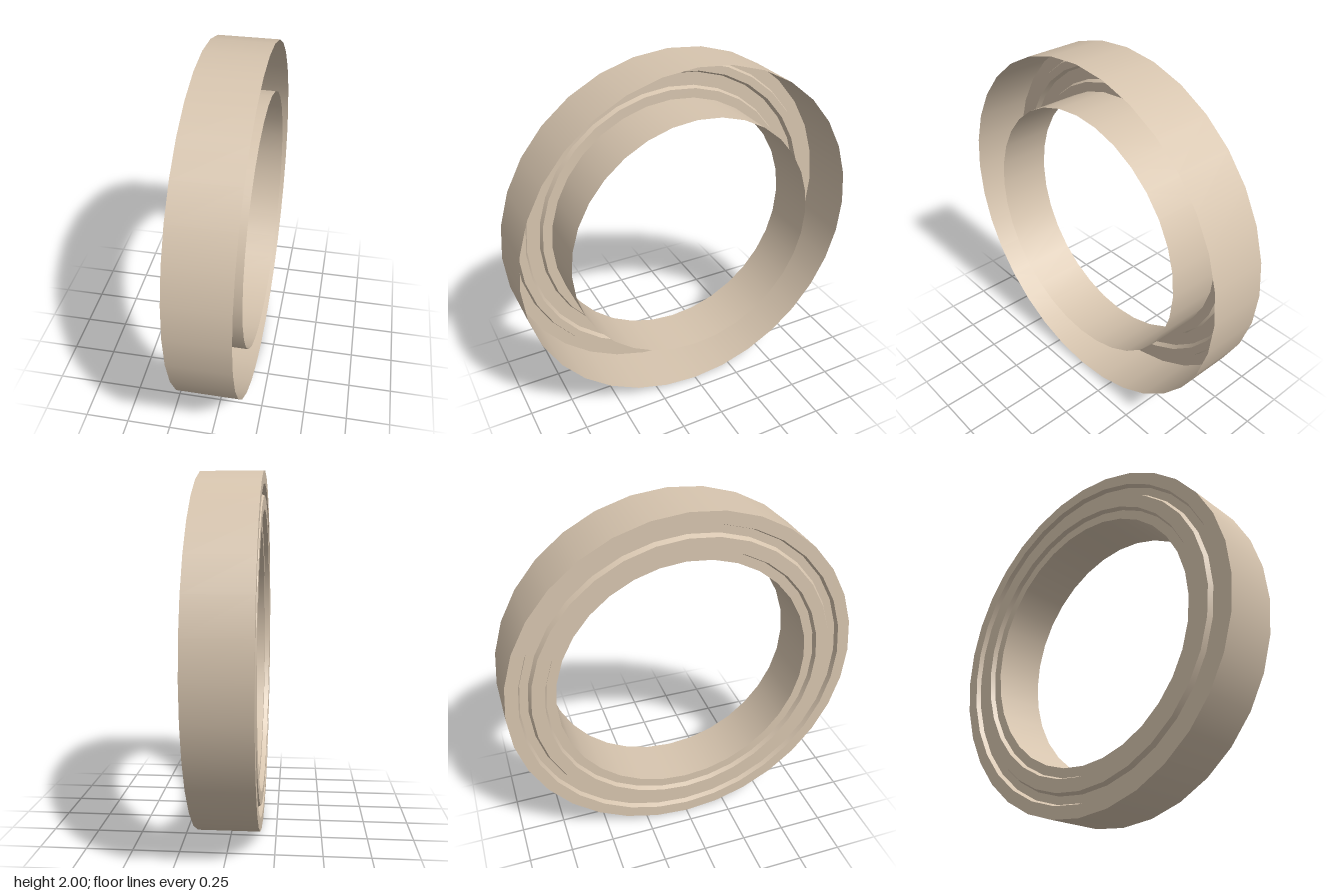
import * as THREE from 'three';

export function createModel() {
  const model = new THREE.Group();
  model.name = 'steppedRing';
  const material = new THREE.MeshStandardMaterial({ color: 0xd6c4ae, side: THREE.DoubleSide });

  const half = 0.168;          // half of the ring width
  const low = -half;           // outermost level of the closed face
  const deep = -half + 0.027;  // level of its recessed bands

  // Cross-section as radius and axial position, from the open inner rim to the open outer rim
  const profile = [
    [0.727, half], [0.727, deep], [0.78, deep], [0.79, low], [0.863, low],
    [0.876, deep], [0.92, deep], [0.93, low], [1, low], [1, half],
  ];
  const names = [
    'innerWall', 'innerRecess', 'innerStep', 'middleBand', 'middleStep',
    'outerRecess', 'outerStep', 'outerBand', 'outerWall',
  ];

  // One lathe per band keeps the edges between bands sharp
  names.forEach((name, i) => {
    const points = [profile[i], profile[i + 1]].map(([r, a]) => new THREE.Vector2(r, a));
    const geometry = new THREE.LatheGeometry(points, 32);
    geometry.rotateZ(-Math.PI / 2); // ring axis along x, open side towards +x
    geometry.translate(0, 1, 0);
    const band = new THREE.Mesh(geometry, material);
    band.name = name;
    model.add(band);
  });

  return model;
}
